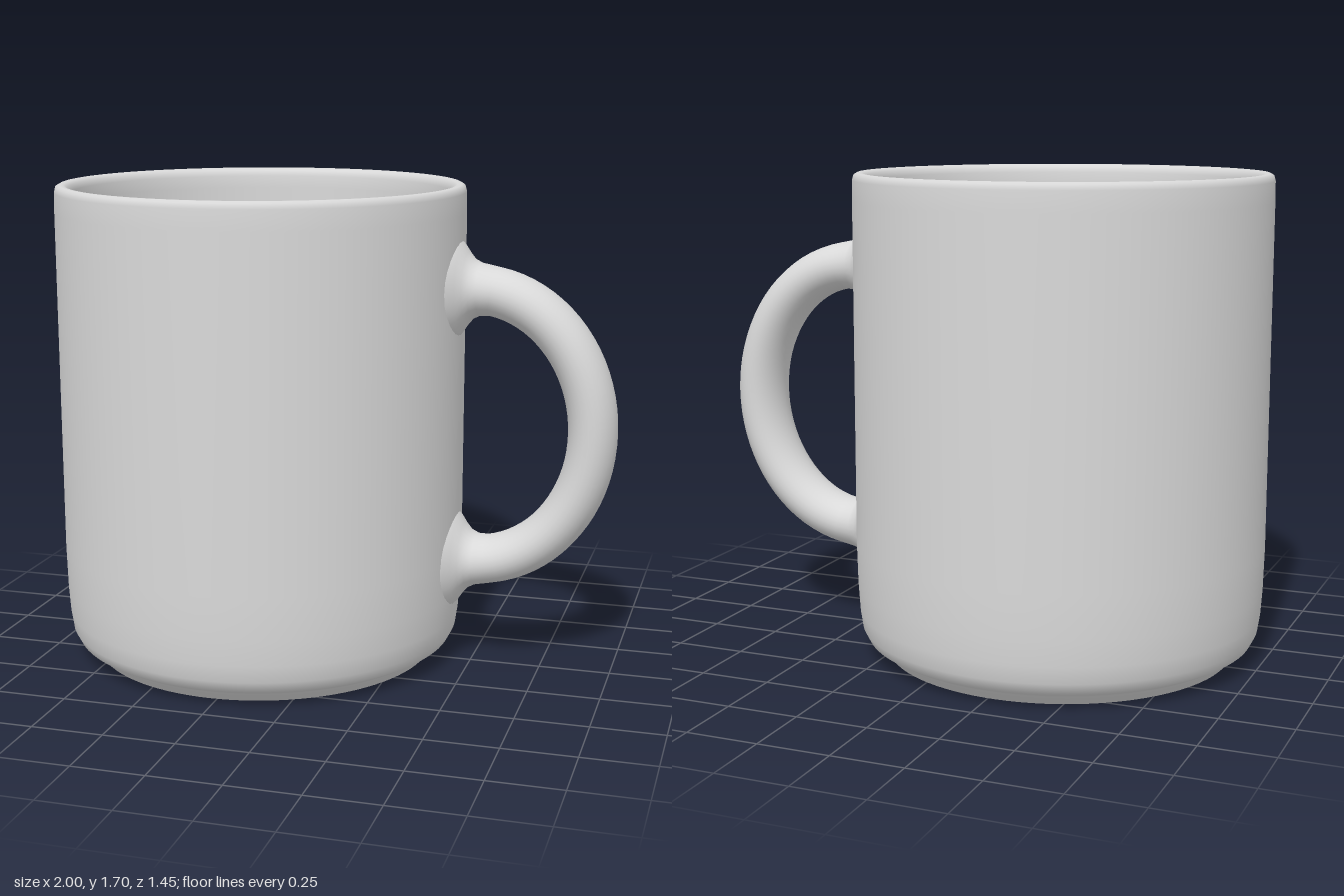
import * as THREE from 'three';

const glaze = new THREE.MeshStandardMaterial({ color: 0xd9d9d9 });
glaze.name = 'pale grey glaze';

// Closed cup wall: underside, foot, outer wall, rim, inner wall, floor
function createCup() {
  const profile = [
    [0, 0.03], [0.5, 0.03], [0.56, 0.028], [0.585, 0.005], [0.6, 0], [0.613, 0.002],
    [0.642, 0.038], [0.66, 0.048], [0.685, 0.063], [0.704, 0.1], [0.713, 0.16], [0.719, 0.25],
    [0.723, 0.4], [0.723, 1.6], [0.722, 1.67], [0.717, 1.688], [0.705, 1.695],
    [0.688, 1.694], [0.674, 1.685], [0.667, 1.665], [0.665, 1.62],
    [0.665, 0.3], [0.655, 0.2], [0.62, 0.13], [0.55, 0.1], [0.45, 0.095], [0, 0.095],
  ].map(([r, y]) => new THREE.Vector2(r, y));
  const cup = new THREE.Mesh(new THREE.LatheGeometry(profile, 96), glaze);
  cup.name = 'cup';
  cup.position.x = -0.277;
  return cup;
}

// Oval-section loop whose ends flare where they join the cup
function createHandle() {
  const midY = 0.865, startX = 0.5, reachX = 0.415, reachY = 0.483;
  const thick = 0.085, wide = 0.109;
  // Flare: x, half thickness, half width
  const flare = [
    [0.40, 0.2, 0.2], [0.43, 0.178, 0.17], [0.45, 0.158, 0.148],
    [0.47, 0.128, 0.128], [0.49, 0.104, 0.115], [0.515, 0.091, 0.11],
  ];
  const sections = [];
  const addFlare = (rows, side) => rows.forEach(([x, a, b]) =>
    sections.push({ x, y: midY + side * reachY, nx: 0, ny: side, a, b }));

  addFlare(flare, 1);
  const steps = 40;
  for (let i = 2; i <= steps - 2; i++) {
    const t = Math.PI * i / steps;
    const n = new THREE.Vector2(Math.sin(t) / reachX, Math.cos(t) / reachY).normalize();
    sections.push({
      x: startX + reachX * Math.sin(t), y: midY + reachY * Math.cos(t),
      nx: n.x, ny: n.y, a: thick, b: wide,
    });
  }
  addFlare([...flare].reverse(), -1);

  const sides = 28, positions = [], index = [];
  sections.forEach((s, i) => {
    for (let j = 0; j < sides; j++) {
      const u = 2 * Math.PI * j / sides;
      const d = s.a * Math.cos(u);
      positions.push(s.x + s.nx * d, s.y + s.ny * d, s.b * Math.sin(u));
      if (i === sections.length - 1) continue;
      const p = i * sides + j, q = i * sides + (j + 1) % sides;
      index.push(p, q, p + sides, q, q + sides, p + sides);
    }
  });
  const geometry = new THREE.BufferGeometry();
  geometry.setAttribute('position', new THREE.Float32BufferAttribute(positions, 3));
  geometry.setIndex(index);
  geometry.computeVertexNormals();
  const handle = new THREE.Mesh(geometry, glaze);
  handle.name = 'handle';
  return handle;
}

export function createModel() {
  const mug = new THREE.Group();
  mug.name = 'mug';
  mug.add(createCup(), createHandle());
  return mug;
}
